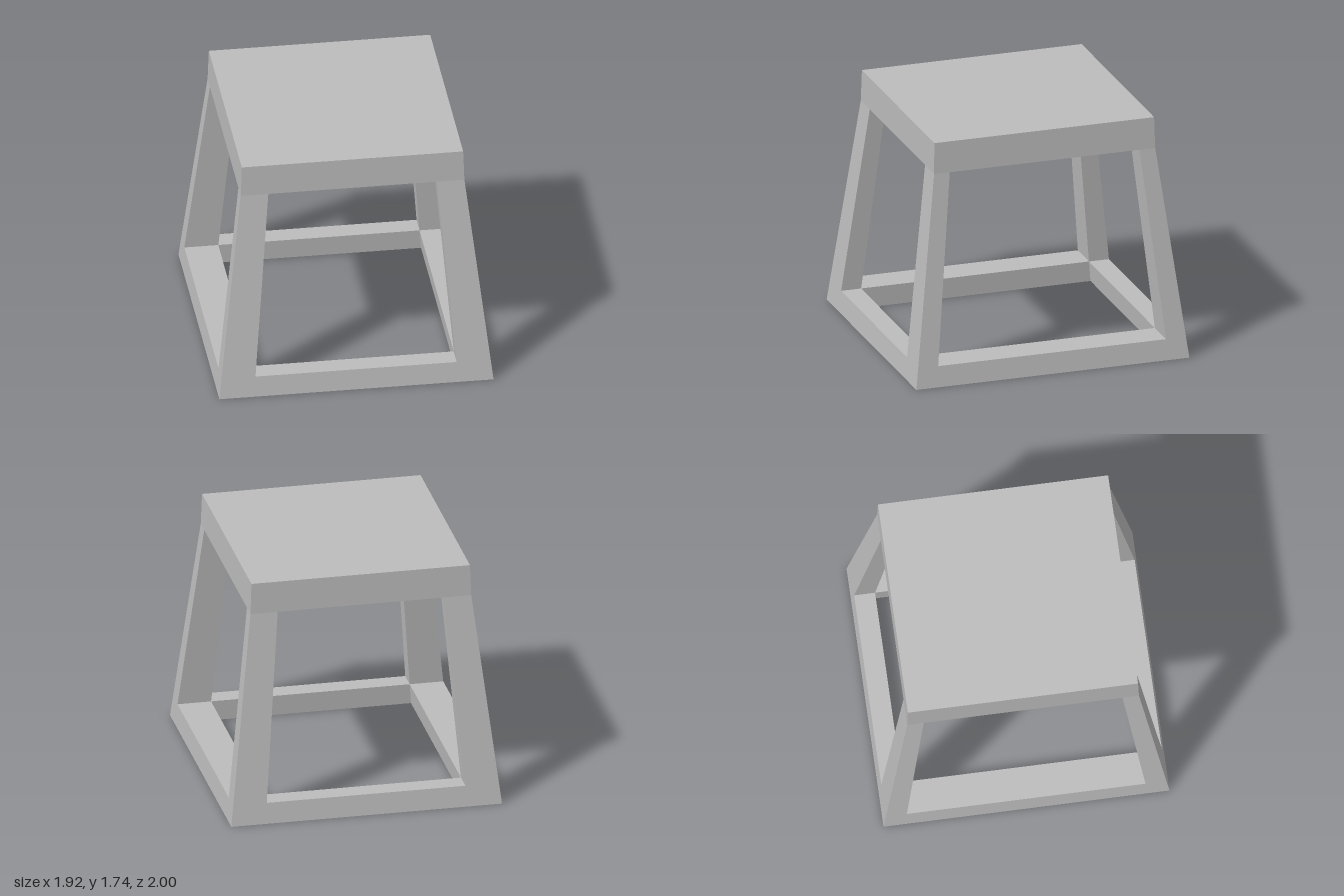
import * as THREE from 'three';

const SEAT_Y = 1.51, TOP_Y = 1.735, RAIL_Y = 0.15;

// Half sizes of the tapering frame at height y
const lerp = (a, b, y) => a + (b - a) * (y / SEAT_Y);
const outer = (y) => [lerp(0.96, 0.783, y), lerp(1.0, 0.81, y)];
const inner = (y) => [lerp(0.717, 0.59, y), lerp(0.85, 0.695, y)];

export function createModel() {
  const group = new THREE.Group();
  const grey = new THREE.MeshStandardMaterial({ color: 0xbcbcbc });
  grey.name = 'grey';

  // Box whose lower and upper faces are the rectangles [x0, x1, z0, z1]
  function block(name, y0, y1, low, high) {
    const geometry = new THREE.BoxGeometry(1, 1, 1);
    const p = geometry.attributes.position;
    for (let i = 0; i < p.count; i++) {
      const up = p.getY(i) > 0;
      const r = up ? high : low;
      p.setXYZ(i, r[p.getX(i) > 0 ? 1 : 0], up ? y1 : y0, r[p.getZ(i) > 0 ? 3 : 2]);
    }
    geometry.computeVertexNormals();
    const mesh = new THREE.Mesh(geometry, grey);
    mesh.name = name;
    group.add(mesh);
  }

  const span = (a, b, s) => (s > 0 ? [a, b] : [-b, -a]);

  // Seat slab, very slightly narrower at the top
  const [sx, sz] = outer(SEAT_Y);
  block('seat', SEAT_Y, TOP_Y, [-sx, sx, -sz, sz], [-0.775, 0.775, -0.805, 0.805]);

  // Four splayed corner legs
  for (const x of [-1, 1]) {
    for (const z of [-1, 1]) {
      const rect = (y) => {
        const o = outer(y), i = inner(y);
        return [...span(i[0], o[0], x), ...span(i[1], o[1], z)];
      };
      block((z > 0 ? 'front' : 'back') + (x > 0 ? 'Left' : 'Right') + 'Leg', 0, SEAT_Y, rect(0), rect(SEAT_Y));
    }
  }

  // Floor rails between the legs
  for (const s of [-1, 1]) {
    const across = (y) => [-inner(y)[0], inner(y)[0], ...span(inner(y)[1], outer(y)[1], s)];
    const along = (y) => [...span(inner(y)[0], outer(y)[0], s), -inner(y)[1], inner(y)[1]];
    block(s > 0 ? 'frontRail' : 'backRail', 0, RAIL_Y, across(0), across(RAIL_Y));
    block(s > 0 ? 'leftRail' : 'rightRail', 0, RAIL_Y, along(0), along(RAIL_Y));
  }

  return group;
}
